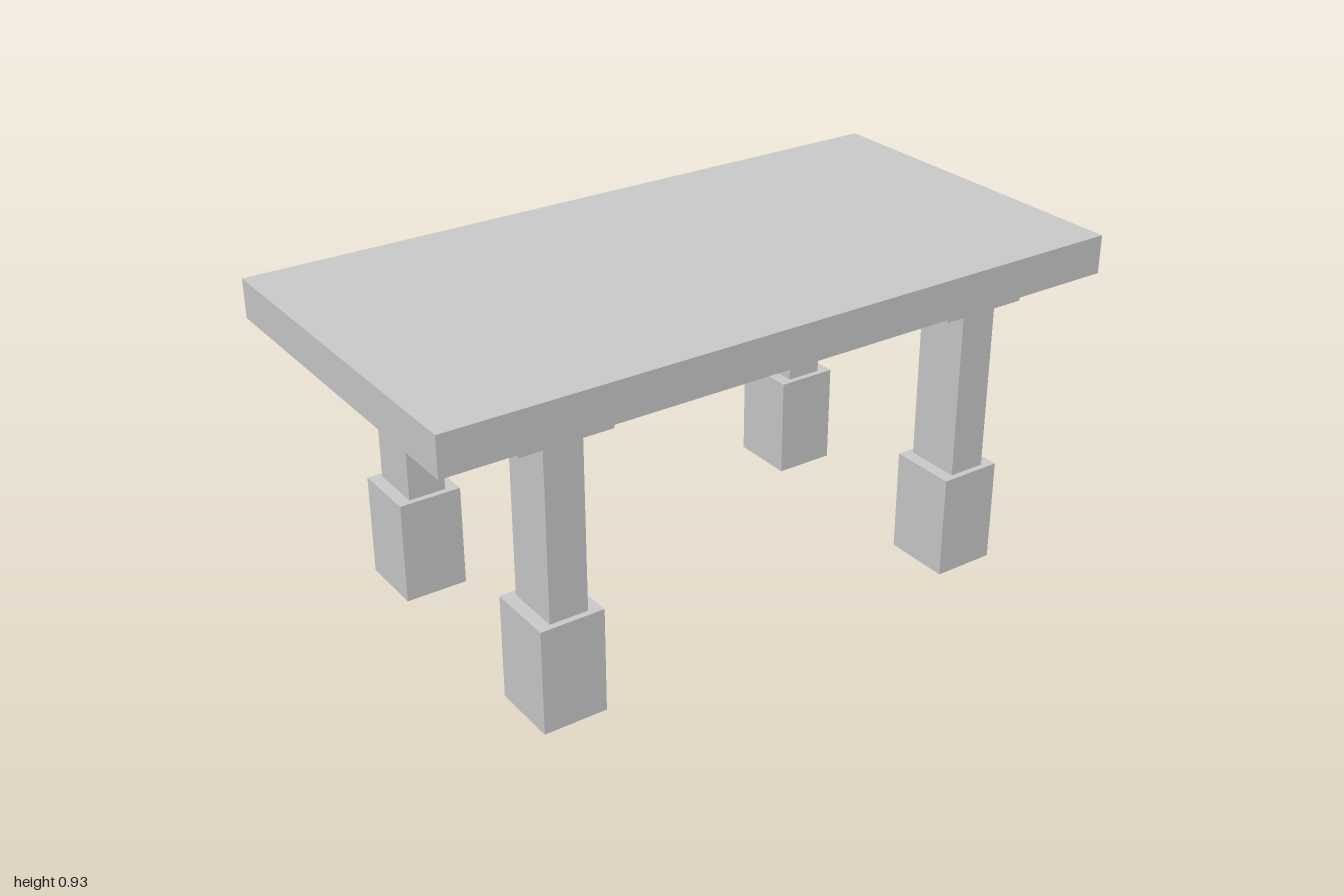
import * as THREE from 'three';

export function createModel() {
  const model = new THREE.Group();
  const material = new THREE.MeshStandardMaterial({ color: 0xcccccc, flatShading: true });

  // Box spanning bottom..top in height, centred on its parent in x and z
  function addBlock(parent, name, width, depth, bottom, top) {
    const mesh = new THREE.Mesh(new THREE.BoxGeometry(width, top - bottom, depth), material);
    mesh.name = name;
    mesh.position.y = (bottom + top) / 2;
    parent.add(mesh);
  }

  // Thick slab on top
  addBlock(model, 'tableTop', 2, 1.032, 0.819, 0.928);

  // Four legs, each a foot block, a slimmer post and a flat cap
  for (const [side, x] of [['Left', 0.636], ['Right', -0.646]]) {
    for (const [end, z] of [['front', 0.367], ['back', -0.357]]) {
      const leg = new THREE.Group();
      leg.name = `${end}${side}Leg`;
      leg.position.set(x, 0, z);
      addBlock(leg, 'foot', 0.18, 0.195, 0, 0.297);
      addBlock(leg, 'post', 0.108, 0.16, 0.297, 0.779);
      addBlock(leg, 'cap', 0.257, 0.195, 0.779, 0.819);
      model.add(leg);
    }
  }
  return model;
}
